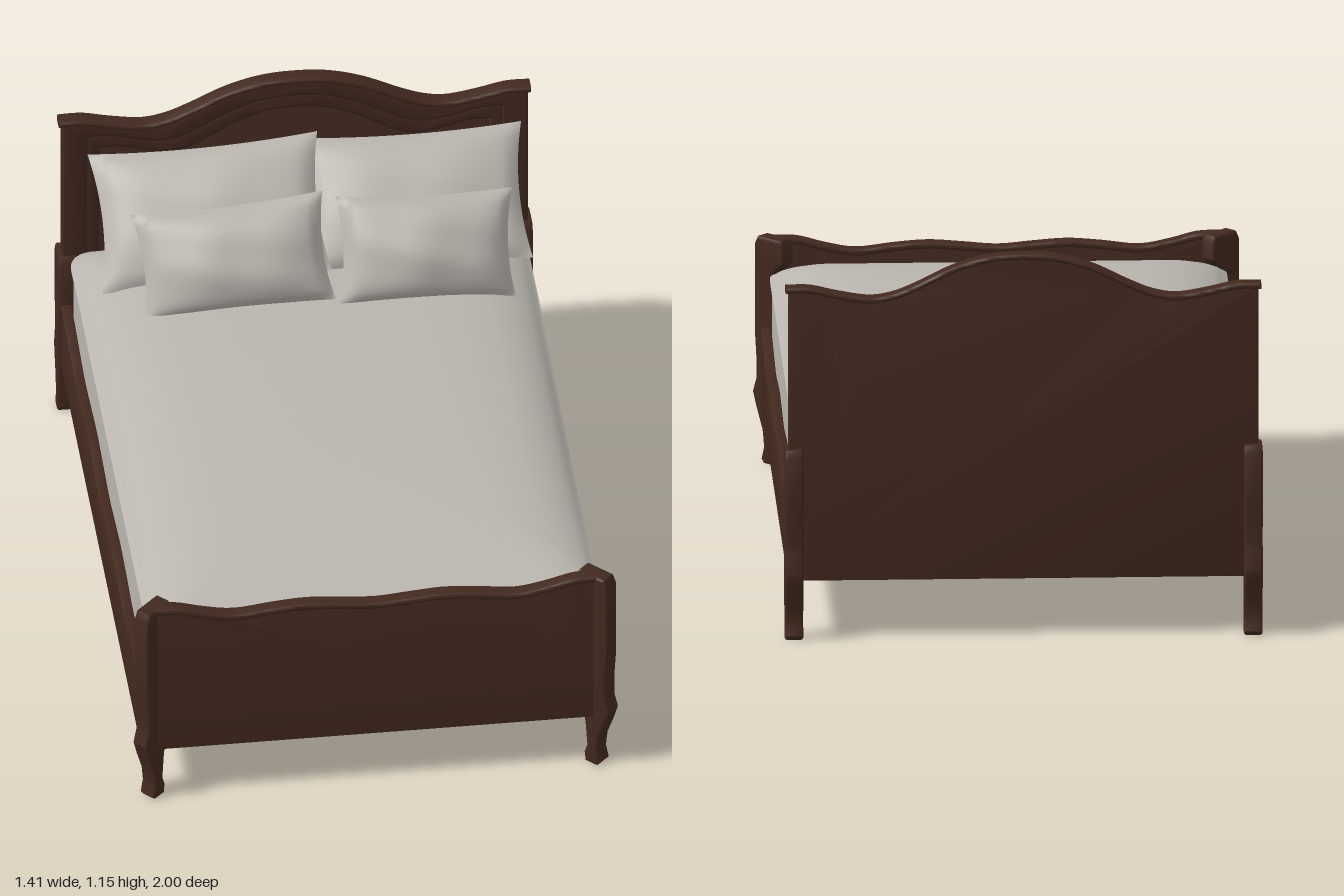
import * as THREE from 'three';
import { mergeGeometries, toCreasedNormals } from 'three/addons/utils/BufferGeometryUtils.js';

const wood = new THREE.MeshStandardMaterial({ color: 0x42291f });
wood.name = 'dark wood';
const linen = new THREE.MeshStandardMaterial({ color: 0xbab5ae });
linen.name = 'pale linen';

const BOTTOM = 0.174; // underside of the boards and rails

// Right half of a wavy edge, smoothed and mirrored, running from -x to +x
function wave(half, n = 28) {
  const mirrored = half.slice(1).reverse().map(([x, y]) => [-x, y]);
  const pts = [...mirrored, ...half].map(([x, y]) => new THREE.Vector2(x, y));
  return new THREE.SplineCurve(pts).getPoints(n * 2).map((p) => [p.x, p.y]);
}

// Same edge with a new half width, lowered by d
function offset(edge, w, d) {
  const k = w / edge[edge.length - 1][0];
  return edge.map(([x, y]) => [x * k, y - d]);
}

// Outline extruded from z0 to z1 with softened edges
function slab(points, z0, z1, bevel = 0.004) {
  const shape = new THREE.Shape(points.map(([x, y]) => new THREE.Vector2(x, y)));
  const geo = new THREE.ExtrudeGeometry(shape, {
    depth: z1 - z0 - 2 * bevel, bevelThickness: bevel, bevelSize: bevel,
    bevelOffset: -bevel, bevelSegments: 3, curveSegments: 6,
  });
  geo.translate(0, 0, z0 + bevel);
  return toCreasedNormals(geo, 0.6);
}

// Panel below a wavy edge, and a strip that follows one
const panel = (edge) =>
  [[edge[0][0], BOTTOM], ...edge, [edge[edge.length - 1][0], BOTTOM]];
const strip = (edge, d) => [...edge, ...offset(edge, edge[edge.length - 1][0], d).reverse()];

// Arched frame: two stiles joined by a wavy top rail
function archFrame(edge, w0, d0, w1, d1) {
  return [[-w0, BOTTOM], ...offset(edge, w0, d0), [w0, BOTTOM],
    [w1, BOTTOM], ...offset(edge, w1, d1).reverse(), [-w1, BOTTOM]];
}

// Rounded rectangle rings [inset, y] joined into a body whose top sags to both ends
function mattressGeometry(hx, hz, rings, edgeY, topY, sag) {
  const pos = [], idx = [], seg = 6, side = 12, n = 4 * (seg + side);
  for (const [inset, y] of rings) {
    const ax = hx - inset, az = hz - inset, r = Math.min(0.07, ax);
    const outline = [];
    for (let k = 0; k < 4; k++) {
      const sx = k === 0 || k === 3 ? 1 : -1, sz = k < 2 ? 1 : -1;
      for (let m = 0; m <= seg; m++) {
        const a = (k + m / seg) * Math.PI / 2;
        outline.push(new THREE.Vector2(sx * (ax - r) + r * Math.cos(a), sz * (az - r) + r * Math.sin(a)));
      }
    }
    const rise = Math.max(0, (y - edgeY) / (topY - edgeY));
    outline.forEach((p, i) => {
      const next = outline[(i + 1) % outline.length];
      const steps = i % (seg + 1) === seg ? side : 1;
      for (let s = 0; s < steps; s++) {
        const q = p.clone().lerp(next, s / steps);
        pos.push(q.x, y - sag * rise * (q.y / hz) ** 2, q.y);
      }
    });
  }
  for (let i = 0; i < rings.length - 1; i++) {
    for (let j = 0; j < n; j++) {
      const a = i * n + j, b = i * n + (j + 1) % n;
      idx.push(a, a + n, b, b, a + n, b + n);
    }
  }
  const geo = new THREE.BufferGeometry();
  geo.setAttribute('position', new THREE.Float32BufferAttribute(pos, 3));
  geo.setIndex(idx);
  return toCreasedNormals(geo, 0.7);
}

// Stuffed pillow: two bulging faces with pinched sides and pointed corners
function pillowGeometry(w, h, t, seed) {
  const halves = [1, -1].map((side) => {
    const geo = new THREE.PlaneGeometry(2, 2, 24, 18);
    const p = geo.attributes.position;
    for (let i = 0; i < p.count; i++) {
      const u = p.getX(i), v = p.getY(i), s = u * side;
      const swell = Math.pow(Math.max(0, (1 - u * u) * (1 - v * v)), 0.5);
      const crease = 1 + 0.07 * Math.sin(5 * s + 3 * v + seed) * Math.sin(4 * v - 2 * s + seed * 2);
      p.setXYZ(i, u * w / 2 * (1 - 0.07 * (1 - v * v)),
        v * h / 2 * (1 - 0.07 * (1 - u * u)), t / 2 * swell * crease);
    }
    if (side < 0) geo.rotateY(Math.PI);
    geo.computeVertexNormals();
    return geo;
  });
  return mergeGeometries(halves);
}

export function createModel() {
  const bed = new THREE.Group();
  bed.name = 'bed';
  const add = (name, geo, mat, x = 0, y = 0, z = 0, parent = bed) => {
    const mesh = new THREE.Mesh(geo, mat);
    mesh.name = name;
    mesh.position.set(x, y, z);
    parent.add(mesh);
    return mesh;
  };

  // Headboard: arched panel, stepped moulding and a lip along the top
  const headboard = new THREE.Group();
  headboard.name = 'headboard';
  bed.add(headboard);
  const arch = wave([[0, 1.145], [0.1, 1.137], [0.2, 1.107], [0.3, 1.058], [0.37, 1.029],
    [0.44, 1.018], [0.53, 1.032], [0.61, 1.05], [0.68, 1.05]], 36);
  const addHead = (name, geo) => add(name, geo, wood, 0, 0, 0, headboard);
  addHead('headboardPanel', slab(panel(arch), -0.952, -0.934));
  addHead('headboardOuterFrame', slab(archFrame(arch, 0.682, 0.002, 0.605, 0.06), -0.945, -0.907, 0.012));
  addHead('headboardInnerFrame', slab(archFrame(arch, 0.612, 0.05, 0.57, 0.108), -0.945, -0.915, 0.014));
  addHead('headboardTopLip', slab(strip(offset(arch, 0.69, -0.005), 0.018), -0.956, -0.903, 0.008));

  // Footboard with a scalloped cap
  const scallop = wave([[0, 0.642], [0.1, 0.65], [0.2, 0.657], [0.3, 0.65], [0.41, 0.638],
    [0.5, 0.653], [0.58, 0.674], [0.65, 0.676]]);
  add('footboardPanel', slab(panel(scallop), 0.924, 0.961), wood);
  add('footboardCap', slab(strip(offset(scallop, 0.65, -0.005), 0.02), 0.921, 0.966, 0.007), wood);

  // Scalloped side rails
  const railEdge = wave([[0, 0.37], [0.14, 0.382], [0.27, 0.393], [0.4, 0.384], [0.56, 0.37],
    [0.7, 0.388], [0.8, 0.403], [0.92, 0.407]]);
  const railPanel = slab(panel(railEdge), -0.013, 0.013).rotateY(Math.PI / 2);
  const railCap = slab(strip(offset(railEdge, 0.92, -0.004), 0.014), -0.016, 0.016, 0.005).rotateY(Math.PI / 2);

  // Curved legs: profile is (outward, up)
  const frontLeg = slab([[0.016, 0], [0.026, 0.012], [0.016, 0.05], [0.022, 0.1], [0.046, 0.165],
    [0.06, 0.21], [0.047, 0.25], [0.047, 0.32], [0.053, 0.4], [0.053, 0.655], [0.04, 0.68],
    [-0.05, 0.68], [-0.058, 0.665], [-0.058, 0.61], [-0.025, 0.58], [-0.022, 0.24], [-0.034, 0.19],
    [-0.026, 0.13], [-0.02, 0.06], [-0.03, 0.03], [-0.026, 0]], -0.026, 0.026, 0.008);
  const backLeg = slab([[0.022, 0], [0.03, 0.012], [0.016, 0.05], [0.024, 0.1], [0.048, 0.16],
    [0.06, 0.2], [0.045, 0.25], [0.038, 0.29], [0.046, 0.38], [0.046, 0.55], [0.034, 0.572],
    [-0.038, 0.572], [-0.052, 0.55], [-0.056, 0.4], [-0.04, 0.25], [-0.032, 0.21], [-0.03, 0.15],
    [-0.014, 0.06], [-0.018, 0.02], [-0.014, 0]], -0.027, 0.027, 0.007);

  for (const [side, s] of [['left', 1], ['right', -1]]) {
    add(side + 'RailPanel', railPanel, wood, s * 0.671, 0, 0);
    add(side + 'RailCap', railCap, wood, s * 0.671, 0, 0);
    add(side + 'FrontLeg', frontLeg, wood, s * 0.65, 0, 0.938).rotation.y = s > 0 ? -Math.PI / 4 : -Math.PI * 0.75;
    add(side + 'BackLeg', backLeg, wood, s * 0.666, 0, -0.94).rotation.y = Math.PI / 2;
  }

  // Mattress with a piped edge and softly domed top
  add('mattress', mattressGeometry(0.663, 0.914, [
    [0.663, 0.28], [0.02, 0.28], [0.008, 0.29], [0.006, 0.4], [0.006, 0.565], [0, 0.57], [0, 0.58],
    [0.008, 0.585], [0.02, 0.602], [0.045, 0.623], [0.09, 0.648], [0.16, 0.668], [0.26, 0.679],
    [0.4, 0.684], [0.54, 0.686], [0.663, 0.686],
  ], 0.585, 0.686, 0.04), linen, 0, 0, 0.006);

  // Pillows: name, size, position, lean, turn, roll
  const pillows = [
    ['backRightPillow', [0.67, 0.41, 0.15], [-0.268, 0.803, -0.757], -0.75, -0.06, 0.02],
    ['backLeftPillow', [0.66, 0.4, 0.15], [0.33, 0.795, -0.765], -0.77, 0, 0],
    ['frontRightPillow', [0.56, 0.32, 0.18], [-0.225, 0.793, -0.55], -0.53, -0.06, 0.06],
    ['frontLeftPillow', [0.52, 0.32, 0.19], [0.335, 0.79, -0.535], -0.53, 0.06, -0.03],
  ];
  pillows.forEach(([name, size, at, lean, turn, roll], i) => {
    const mesh = add(name, pillowGeometry(...size, i * 1.7 + 0.5), linen, ...at);
    mesh.rotation.set(lean, turn, roll);
  });

  return bed;
}
